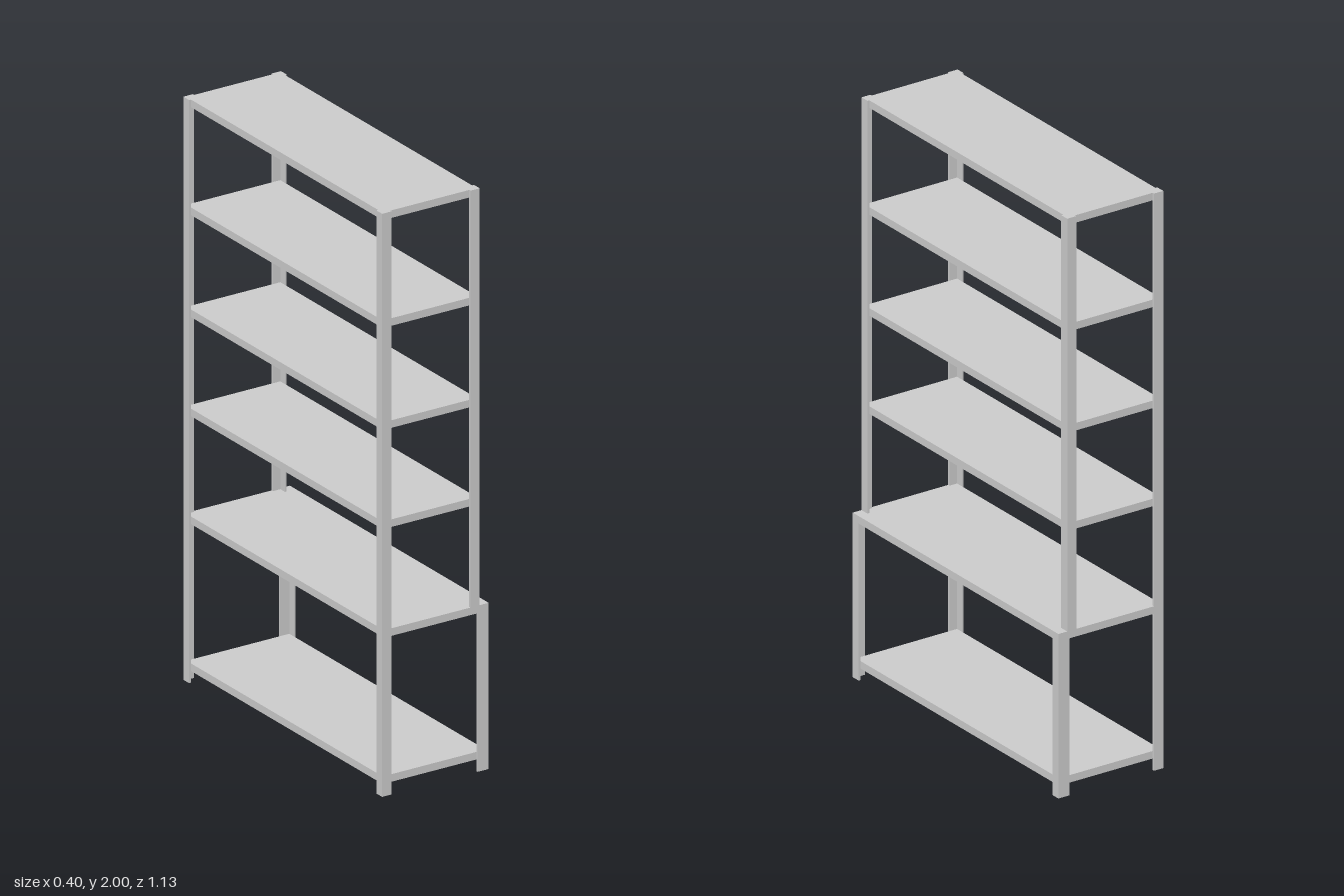
import * as THREE from 'three';

const material = new THREE.MeshStandardMaterial({ color: 0xcccccc, flatShading: true });
const T = 0.007; // sheet thickness of the angle posts
const Z = 0.565; // half length of the rack

// Upright L-section post: outer corner at (x, z), legs pointing inwards
function anglePost(name, x, z, y0, y1, widthX, widthZ) {
  const sx = -Math.sign(x), sz = -Math.sign(z);
  const points = [[0, 0], [widthX, 0], [widthX, T], [T, T], [T, widthZ], [0, widthZ]]
    .map(([a, b]) => new THREE.Vector2(x + sx * a, -(z + sz * b)));
  const geometry = new THREE.ExtrudeGeometry(new THREE.Shape(points), { depth: y1 - y0, bevelEnabled: false });
  geometry.rotateX(-Math.PI / 2);
  geometry.translate(0, y0, 0);
  const mesh = new THREE.Mesh(geometry, material);
  mesh.name = name;
  return mesh;
}

// Flat shelf board given by its x range, half length and top height
function shelf(name, x0, x1, halfZ, top) {
  const h = 0.026;
  const mesh = new THREE.Mesh(new THREE.BoxGeometry(x1 - x0, h, halfZ * 2), material);
  mesh.position.set((x0 + x1) / 2, top - h / 2, 0);
  mesh.name = name;
  return mesh;
}

export function createModel() {
  const rack = new THREE.Group();
  rack.name = 'shelvingRack';

  // Posts at both ends: full-height ones, and stepped pairs on the deep side
  for (const [end, z] of [['front', Z], ['back', -Z]]) {
    rack.add(anglePost(end + 'TallPost', -0.202, z, 0, 2, 0.036, 0.033));
    rack.add(anglePost(end + 'UpperPost', 0.168, z, 0.57, 2, 0.035, 0.033));
    rack.add(anglePost(end + 'LowerPost', 0.202, z, 0, 0.545, 0.042, 0.033));
  }

  // Deep base shelves, the upper one capping the lower posts
  rack.add(shelf('bottomShelf', -0.195, 0.195, Z - T, 0.066));
  rack.add(shelf('stepShelf', -0.195, 0.202, Z, 0.57));

  // Shallow upper shelves
  [0.94, 1.28, 1.63, 2].forEach((top, i) =>
    rack.add(shelf('upperShelf' + (i + 1), -0.195, 0.161, Z - T, top)));

  return rack;
}
